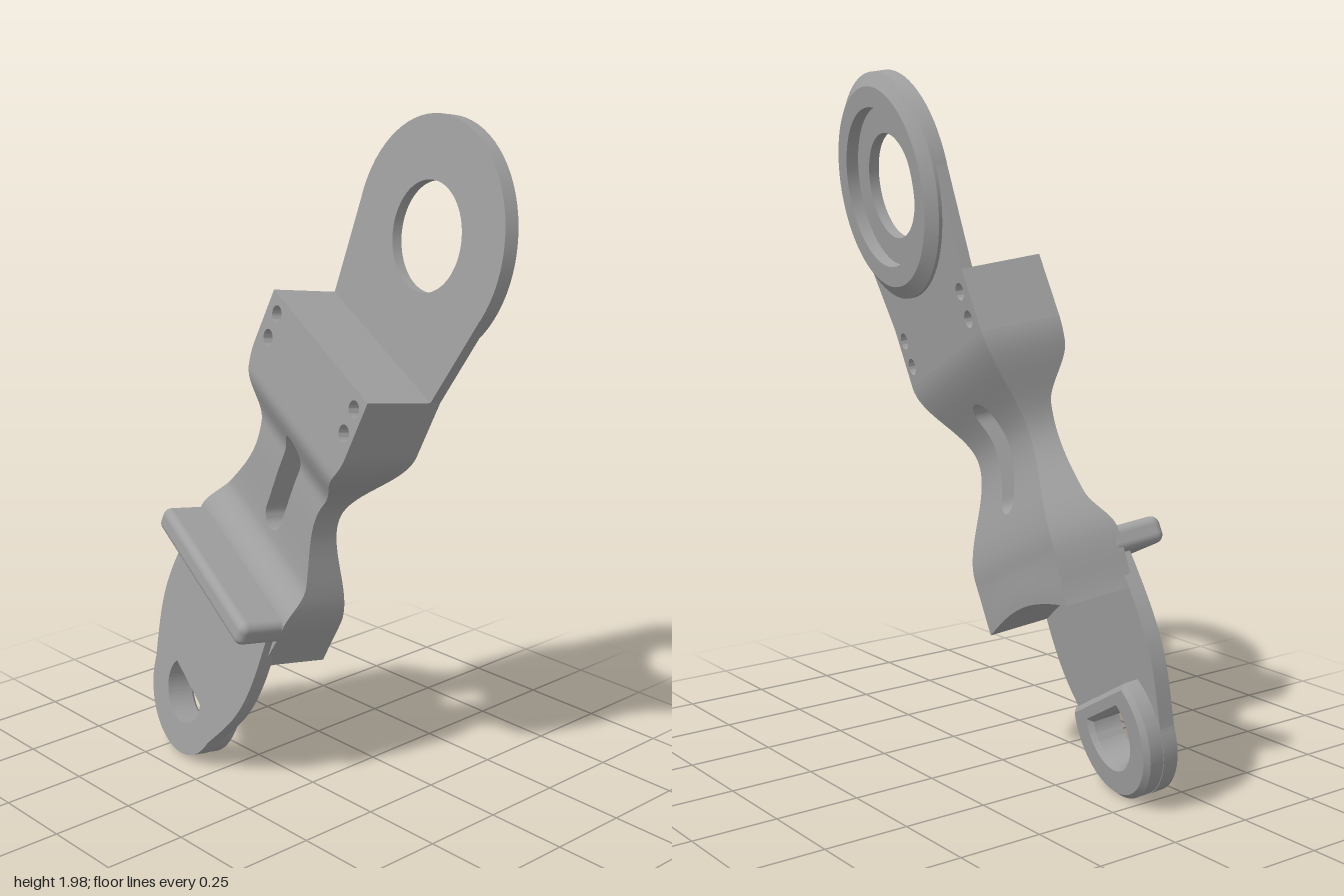
import * as THREE from 'three';
import { toCreasedNormals } from 'three/addons/utils/BufferGeometryUtils.js';
import { RoundedBoxGeometry } from 'three/addons/geometries/RoundedBoxGeometry.js';

// Local frame: x across the arm, y along it, z out of its front face.
const TOP_Y = 1.65, BOTTOM_Y = 0.012, DEG = Math.PI / 180;

// smooth interpolation through [position, value] knots
function ease(knots, b) {
  for (let i = 1; i < knots.length; i++) {
    const [b0, v0] = knots[i - 1], [b1, v1] = knots[i];
    if (b <= b1) return v0 + (v1 - v0) * THREE.MathUtils.smoothstep(b, b0, b1);
  }
  return knots[knots.length - 1][1];
}

const halfWidth = b => ease([[0.36, 0.265], [0.52, 0.278], [0.84, 0.185], [1.12, 0.275]], b);
const frontZ = b => ease([[0.36, -0.012], [0.52, -0.02], [0.84, -0.1], [1.12, -0.01]], b);
const backZ = b => ease([[0.36, -0.22], [0.52, -0.22], [0.64, -0.172], [0.9, -0.185], [1.05, -0.25], [1.12, -0.25]], b);

// half width of the round-ended slot
function slotHalf(b) {
  const d = Math.max(b - 0.935, 0.705 - b, 0);
  return Math.sqrt(Math.max(0, 0.045 ** 2 - d * d));
}

// skin of rectangular sections stacked along y, between left(b) and right(b)
function loft(stations, left, right) {
  const cols = 12, ring = 2 * (cols + 1), pos = [], index = [];
  for (const b of stations) {
    for (let k = 0; k < ring; k++) {
      const front = k <= cols;
      const x = THREE.MathUtils.lerp(left(b), right(b), (front ? k : ring - 1 - k) / cols);
      // the lower edge arches up slightly
      const arch = 0.04 * Math.cos(x / 0.54 * Math.PI) * (1 - THREE.MathUtils.smoothstep(b, 0.36, 0.55));
      pos.push(x, b + arch, front ? frontZ(b) : backZ(b));
    }
  }
  const n = stations.length;
  for (let j = 0; j < n - 1; j++) {
    for (let k = 0; k < ring; k++) {
      const a = j * ring + k, c = j * ring + (k + 1) % ring;
      index.push(a, c, c + ring, a, c + ring, a + ring);
    }
  }
  // end caps
  const top = (n - 1) * ring;
  for (let k = 0; k < cols; k++) {
    const m = ring - 1 - k;
    index.push(k, m, m - 1, k, m - 1, k + 1);
    index.push(top + k, top + k + 1, top + m - 1, top + k, top + m - 1, top + m);
  }
  const g = new THREE.BufferGeometry();
  g.setAttribute('position', new THREE.Float32BufferAttribute(pos, 3));
  g.setIndex(index);
  return toCreasedNormals(g, 0.6);
}

const range = (a, b, n) => Array.from({ length: n + 1 }, (_, i) => a + (b - a) * i / n);

function circle(x, y, r) {
  return new THREE.Path().absarc(x, y, r, 0, Math.PI * 2, true);
}

// circle with its top cut off by a slightly turned chord
function dShape(Type, r, chord) {
  const cut = Math.asin(chord / r), turn = 5 * DEG;
  const s = new Type();
  s.absarc(0, BOTTOM_Y, r, Math.PI - cut + turn, Math.PI * 2 + cut + turn, false);
  s.closePath();
  return s;
}

function extrude(shape, z0, z1, bevel = 0) {
  const g = new THREE.ExtrudeGeometry(shape, {
    depth: z1 - z0 - bevel, curveSegments: 40, bevelEnabled: bevel > 0,
    bevelSize: bevel, bevelThickness: bevel, bevelOffset: -bevel, bevelSegments: 1,
  });
  g.translate(0, 0, z0);
  return toCreasedNormals(g, 0.5);
}

export function createModel() {
  const gray = new THREE.MeshStandardMaterial({ color: 0xa0a0a0 });
  gray.name = 'machinedGray';
  const arm = new THREE.Group();
  arm.name = 'arm';
  const add = (name, geometry) => {
    const mesh = new THREE.Mesh(geometry, gray);
    mesh.name = name;
    arm.add(mesh);
    return mesh;
  };

  // teardrop plate behind the large ring
  const plate = new THREE.Shape();
  plate.moveTo(-0.273, 1.3);
  plate.lineTo(0.273, 1.3);
  plate.absarc(0, TOP_Y, 0.322, -8.9 * DEG, 188.9 * DEG, false);
  plate.closePath();
  plate.holes.push(circle(0, TOP_Y, 0.28));
  add('upperPlate', extrude(plate, -0.043, -0.01));

  // chamfered ring with a stepped bearing seat
  const profile = [[0.323, -0.043], [0.323, 0], [0.285, 0.025], [0.227, 0.025], [0.227, -0.012],
    [0.15, -0.012], [0.15, -0.043], [0.323, -0.043]].map(p => new THREE.Vector2(...p));
  const ring = new THREE.LatheGeometry(profile, 72);
  ring.rotateX(Math.PI / 2);
  ring.translate(0, TOP_Y, 0);
  add('bearingRing', toCreasedNormals(ring, 0.4));

  // thick mounting block with four bolt holes
  const block = new THREE.Shape();
  block.moveTo(-0.275, 1.12);
  block.lineTo(0.275, 1.12);
  block.lineTo(0.273, 1.3);
  block.lineTo(-0.273, 1.3);
  block.closePath();
  for (const x of [-0.232, 0.222]) for (const y of [1.173, 1.252]) block.holes.push(circle(x, y, 0.024));
  add('mountingBlock', extrude(block, -0.25, -0.01));

  // curved waist, split either side of the slot
  const slotStations = range(Math.PI, 0, 32).map(t => 0.82 + 0.16 * Math.cos(t));
  const minus = b => -halfWidth(b);
  add('upperWaist', loft(range(0.98, 1.12, 10), minus, halfWidth));
  add('waistSideRight', loft(slotStations, minus, b => -slotHalf(b)));
  add('waistSideLeft', loft(slotStations, slotHalf, halfWidth));
  add('lowerStep', loft(range(0.36, 0.66, 20), minus, halfWidth));

  // tab across the back
  const tab = add('rearTab', new RoundedBoxGeometry(0.555, 0.075, 0.17, 4, 0.025));
  tab.position.set(0, 0.492, -0.27);

  // tapered lower plate
  const foot = new THREE.Shape();
  foot.moveTo(-0.25, 0.52);
  foot.splineThru([[-0.275, 0.3], [-0.26, 0.15], [-0.193, -0.022]].map(p => new THREE.Vector2(...p)));
  foot.absarc(0, BOTTOM_Y, 0.196, 190 * DEG, 350 * DEG, false);
  foot.splineThru([[0.26, 0.15], [0.275, 0.3], [0.25, 0.52]].map(p => new THREE.Vector2(...p)));
  foot.closePath();
  foot.holes.push(dShape(THREE.Path, 0.1, 0.04));
  add('lowerPlate', extrude(foot, -0.244, -0.2));

  // flat-topped boss around the lower hole
  const boss = dShape(THREE.Shape, 0.194, 0.098);
  boss.holes.push(dShape(THREE.Path, 0.1, 0.04));
  add('lowerBoss', extrude(boss, -0.202, -0.146, 0.014));

  // lean the arm into its resting pose
  const n = new THREE.Vector3(0.979, -0.137, 0.15).normalize();
  const l = new THREE.Vector3(0.064, 0.908, 0.413);
  l.addScaledVector(n, -l.dot(n)).normalize();
  const p = new THREE.Vector3().crossVectors(l, n);
  arm.applyMatrix4(new THREE.Matrix4().makeBasis(p, l, n).setPosition(p.clone().multiplyScalar(0.432)));

  const model = new THREE.Group();
  model.name = 'linkBracket';
  model.add(arm);
  return model;
}
